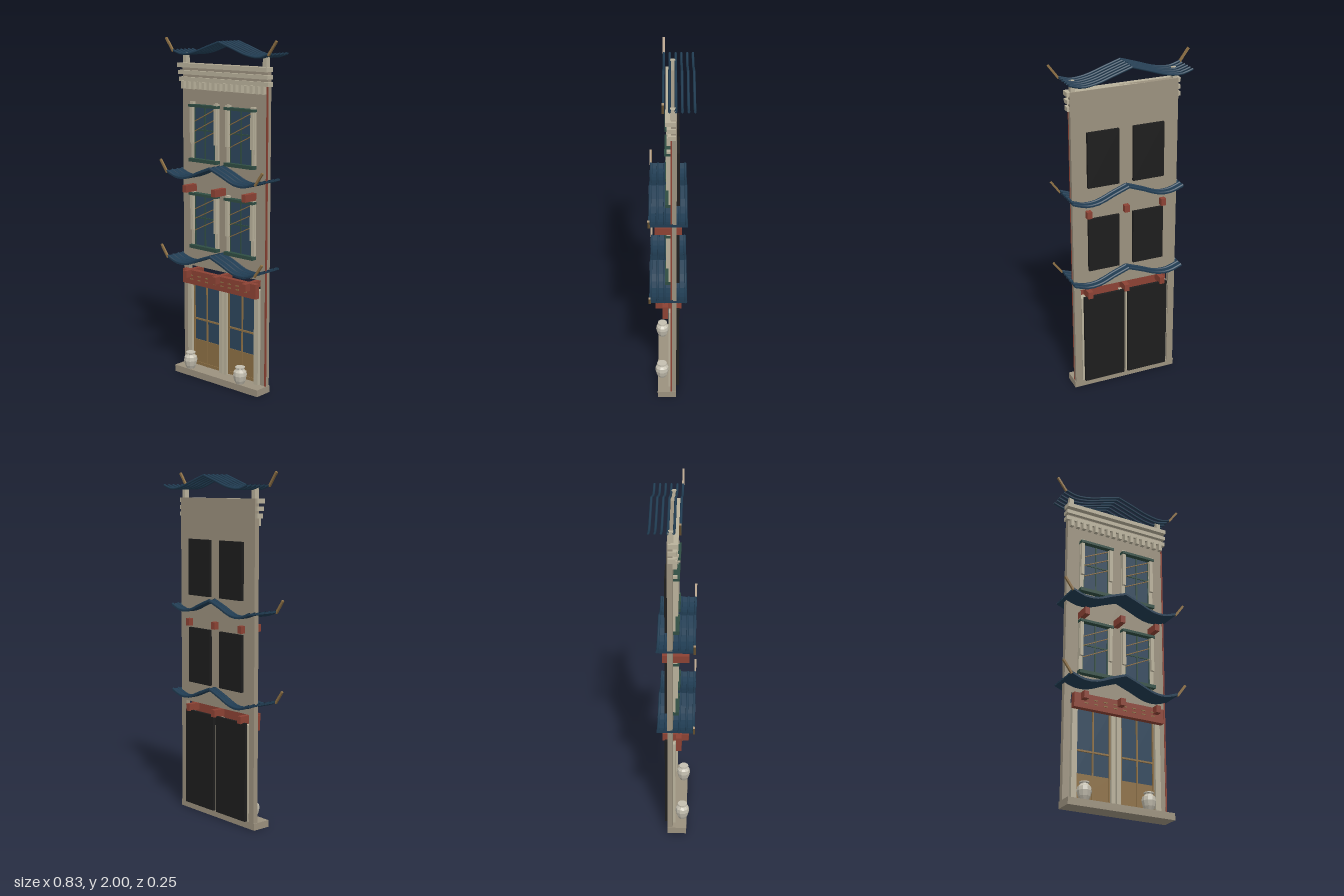
import * as THREE from 'three';

const mat = (name, color, side = THREE.FrontSide) => {
  const m = new THREE.MeshStandardMaterial({ color, side });
  m.name = name;
  return m;
};

export function createModel() {
  const M = {
    wall: mat('wall stone', 0x9b917e),
    trim: mat('pale trim', 0xb9b19b),
    roof: mat('roof blue', 0x203c52, THREE.DoubleSide),
    glass: mat('window glass', 0x2d465c),
    green: mat('green paint', 0x2f4d43),
    red: mat('red paint', 0x8c4234),
    gold: mat('gold wood', 0x8d7045),
    dark: mat('dark backing', 0x1d1d1d),
    vase: mat('vase clay', 0xc4bfb0),
  };
  const model = new THREE.Group();
  model.name = 'townhouseFacade';

  const add = (name, geo, material, parent = model) => {
    const m = new THREE.Mesh(geo, material);
    m.name = name;
    parent.add(m);
    return m;
  };
  // box given by its limits on each axis
  const box = (name, x0, x1, y0, y1, z0, z1, material, parent) => {
    const m = add(name, new THREE.BoxGeometry(x1 - x0, y1 - y0, z1 - z0), material, parent);
    m.position.set((x0 + x1) / 2, (y0 + y1) / 2, (z0 + z1) / 2);
    return m;
  };
  const group = (name) => {
    const g = new THREE.Group();
    g.name = name;
    model.add(g);
    return g;
  };

  // wall with the wide doorway left open, and doorstep
  const outline = new THREE.Shape([
    [-0.32, 0.04], [-0.28, 0.04], [-0.28, 0.66], [0.28, 0.66],
    [0.28, 0.04], [0.32, 0.04], [0.32, 1.855], [-0.32, 1.855],
  ].map(([x, y]) => new THREE.Vector2(x, y)));
  add('wall', new THREE.ExtrudeGeometry(outline, { depth: 0.03, bevelEnabled: false }), M.wall).position.z = -0.03;
  box('doorstep', -0.325, 0.325, 0, 0.04, -0.03, 0.08, M.wall);
  box('edgeStrip', 0.313, 0.322, 0.04, 1.75, -0.005, 0.003, M.red);

  // cornice bands, dentils and roof posts
  const cornice = group('cornice');
  [[1.75, 1.775, 0.015], [1.79, 1.813, 0.022], [1.83, 1.855, 0.03]].forEach(([y0, y1, z]) =>
    box('corniceBand', -0.335, 0.335, y0, y1, -0.025, z, M.trim, cornice));
  for (let i = 0; i < 16; i++) {
    const x = -0.3 + i * 0.04;
    box('dentil', x - 0.01, x + 0.01, 1.708, 1.752, -0.002, 0.024, M.trim, cornice);
  }
  for (const s of [-1, 1])
    box('roofPost', s * 0.3 - 0.013, s * 0.3 + 0.013, 1.85, 1.915, -0.025, 0.005, M.trim, cornice);

  // windows, two on each upper floor
  const makeWindow = (cx, y) => {
    const w = group('window');
    w.position.set(cx, y, 0);
    box('glass', -0.085, 0.085, 0.02, 0.32, 0, 0.006, M.glass, w);
    for (const s of [-1, 1]) {
      const jx = s * 0.093;
      box('jamb', jx - 0.012, jx + 0.012, 0, 0.33, 0, 0.014, M.trim, w);
      box('jambFace', jx - 0.01, jx + 0.01, 0.11, 0.33, 0.012, 0.028, M.trim, w);
      box('jambCap', jx - 0.012, jx + 0.012, 0.33, 0.345, 0, 0.024, M.trim, w);
      box('sashSide', s * 0.079 - 0.003, s * 0.079 + 0.003, 0.02, 0.32, 0, 0.011, M.green, w);
    }
    box('mullion', -0.004, 0.004, 0.02, 0.32, 0, 0.011, M.green, w);
    box('transom', -0.082, 0.082, 0.181, 0.189, 0, 0.011, M.green, w);
    box('lintel', -0.107, 0.107, 0.318, 0.333, 0, 0.036, M.green, w);
    box('sill', -0.107, 0.107, 0, 0.02, 0, 0.034, M.green, w);
    for (const dy of [0.272, 0.215, 0.145]) {
      const bar = box('diagonalBar', -0.088, 0.088, -0.0025, 0.0025, 0.008, 0.014, M.gold, w);
      bar.position.y = dy;
      bar.rotation.z = 0.45;
    }
    box('backing', -0.094, 0.094, 0.005, 0.33, -0.047, -0.029, M.dark, w);
  };
  for (const y of [1.29, 0.775]) for (const s of [-1, 1]) makeWindow(s * 0.137, y);

  // doors with glazing, lower panel, posts and dark backing
  for (const s of [-1, 1]) {
    const d = group('door');
    d.position.x = s * 0.138;
    box('doorGlass', -0.107, 0.107, 0.2, 0.585, -0.022, -0.01, M.glass, d);
    box('doorPanel', -0.107, 0.107, 0.045, 0.205, -0.022, -0.006, M.gold, d);
    for (const x of [-0.102, 0, 0.102])
      box('doorStile', x - 0.004, x + 0.004, 0.045, 0.585, -0.022, -0.002, M.gold, d);
    for (const y of [0.06, 0.335, 0.58])
      box('doorRail', -0.107, 0.107, y - 0.005, y + 0.005, -0.022, -0.002, M.gold, d);
    box('doorBacking', -0.126, 0.126, 0.04, 0.61, -0.047, -0.03, M.dark, d);
    const post = (name, a, b, z) =>
      box(name, Math.min(s * a, s * b), Math.max(s * a, s * b), 0.04, 0.6, -0.03, z, M.trim);
    post('centrePost', 0.005, 0.03, 0.008);
    post('sidePost', 0.244, 0.276, 0.016);
  }

  // sign board with gold inlays
  const sign = group('signBoard');
  box('board', -0.283, 0.283, 0.56, 0.645, 0.018, 0.05, M.red, sign);
  for (let i = 0; i < 8; i++) for (const y of [0.592, 0.615]) {
    const x = -0.21 + i * 0.06;
    box('inlay', x - 0.012, x + 0.012, y - 0.003, y + 0.003, 0.049, 0.053, M.gold, sign);
  }

  // beam ends passing through the wall
  for (const y of [1.115, 0.605]) for (const x of [-0.228, 0, 0.228])
    box('beam', x - 0.015, x + 0.015, y, y + 0.042, -0.06, 0.09, M.red);

  // upswept roofs: a mirrored sagging curve with a sharp peak
  const halfCurve = (pts, s) =>
    new THREE.CatmullRomCurve3(pts.map(([x, y]) => new THREE.Vector3(s * x, y, 0)));
  const addRibs = (parent, pts, zs, r) => {
    for (const z of zs) for (const s of [-1, 1])
      add('roofRib', new THREE.TubeGeometry(halfCurve(pts, s), 12, r, 8), M.roof, parent).position.z = z;
  };
  const addTips = (parent, x, y, dx, dy, z) => {
    for (const s of [-1, 1]) {
      const tip = add('roofTip', new THREE.BoxGeometry(0.012, Math.hypot(dx, dy), 0.012), M.gold, parent);
      tip.position.set(s * (x + dx / 2), y + dy / 2, z);
      tip.rotation.z = -s * Math.atan2(dx, dy);
    }
  };

  const topPts = [[0, 1.982], [0.1, 1.95], [0.2, 1.918], [0.29, 1.908], [0.358, 1.927]];
  const topRoof = group('topRoof');
  addRibs(topRoof, topPts, [-0.121, -0.089, -0.057, -0.025, 0.008, 0.04], 0.007);
  addTips(topRoof, 0.355, 1.92, 0.057, 0.077, 0.041);

  const lowPts = [[0, 0.078], [0.09, 0.044], [0.18, 0.008], [0.26, 0.004], [0.337, 0.03]];
  for (const y of [1.205, 0.695]) {
    const roof = group('lowerRoof');
    roof.position.y = y;
    const right = halfCurve(lowPts, 1).getPoints(8);
    const line = [...right.slice(1).reverse().map((p) => [-p.x, p.y]), ...right.map((p) => [p.x, p.y])];
    const section = new THREE.Shape([
      ...line.map(([x, h]) => new THREE.Vector2(x, h - 0.008)),
      ...line.slice().reverse().map(([x, h]) => new THREE.Vector2(x, h + 0.002)),
    ]);
    const sheet = new THREE.ExtrudeGeometry(section, { depth: 0.215, bevelEnabled: false });
    add('roofSheet', sheet, M.roof, roof).position.z = -0.09;
    addRibs(roof, lowPts, [-0.083, -0.044, -0.004, 0.036, 0.077, 0.117], 0.008);
    addTips(roof, 0.335, 0.02, 0.053, 0.073, 0.12);
  }

  // vases beside the door
  const profile = [
    [0, 0], [0.024, 0], [0.034, 0.02], [0.041, 0.05], [0.038, 0.072],
    [0.024, 0.084], [0.022, 0.09], [0.029, 0.094], [0.029, 0.1], [0, 0.1],
  ].map(([r, y]) => new THREE.Vector2(r, y));
  for (const x of [-0.218, 0.175]) {
    const v = group('vase');
    v.position.set(x, 0.04, 0.055);
    const geo = new THREE.LatheGeometry(profile, 10).toNonIndexed();
    geo.computeVertexNormals();
    add('vaseBody', geo, M.vase, v);
  }
  return model;
}
